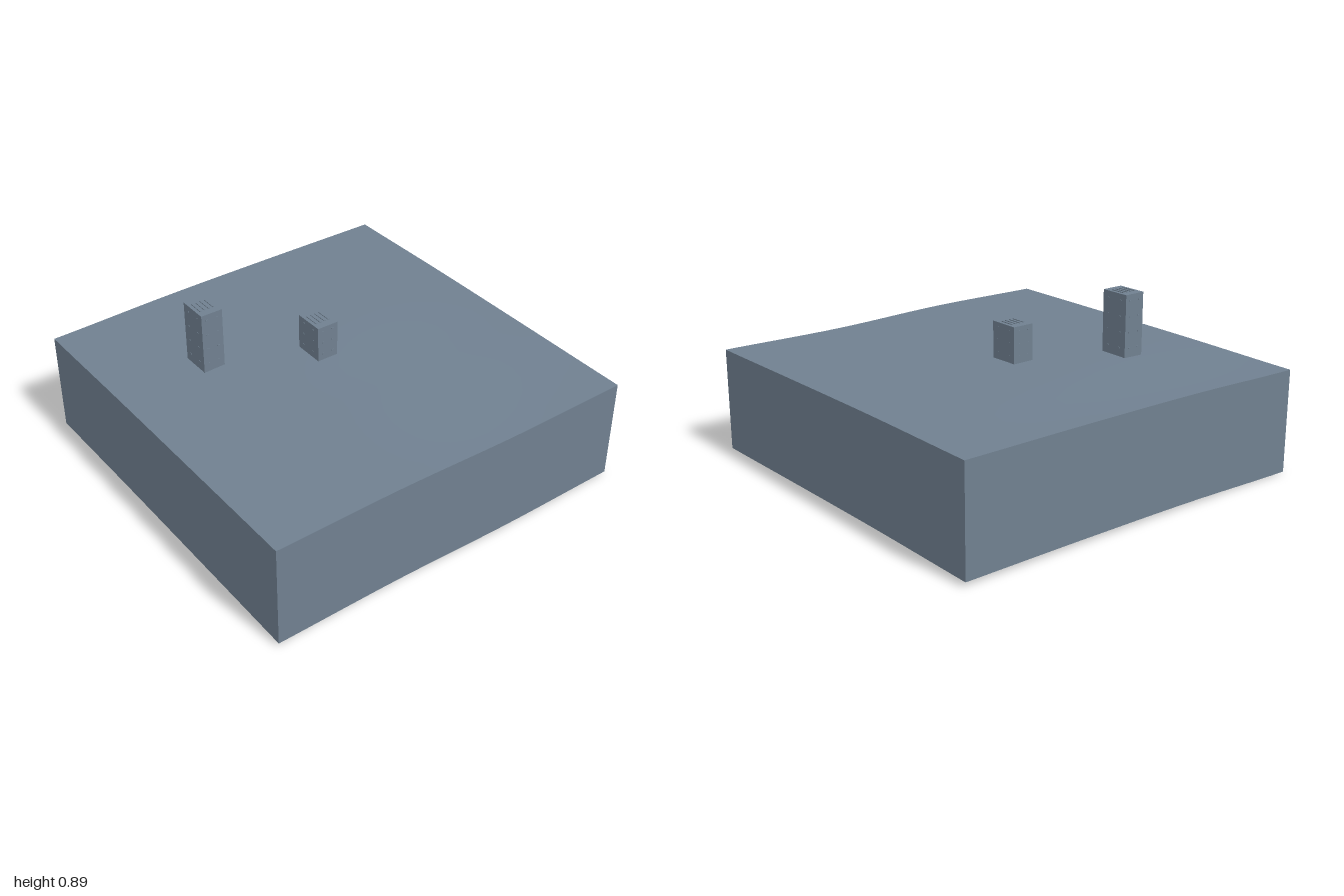
import * as THREE from 'three';

const WALL = 0.535;

// Ground heights on a 4 x 4 net, rows from back (z = -1) to front (z = 1)
const NET = [
  [0.535, 0.553, 0.558, 0.557],
  [0.545, 0.565, 0.566, 0.560],
  [0.550, 0.562, 0.555, 0.555],
  [0.553, 0.558, 0.542, 0.548],
];

// Smooth curve through four evenly spaced values, t from -1 to 1
function smooth(values, t) {
  const s = THREE.MathUtils.clamp((t + 1) * 1.5, 0, 3);
  const i = Math.min(2, Math.floor(s));
  const f = s - i;
  const at = (k) => values[THREE.MathUtils.clamp(k, 0, 3)];
  const a = at(i - 1), b = at(i), c = at(i + 1), d = at(i + 2);
  return b + 0.5 * f * (c - a + f * (2 * a - 5 * b + 4 * c - d + f * (3 * (b - c) + d - a)));
}
const groundHeight = (x, z) => smooth(NET.map((row) => smooth(row, x)), z);

export function createModel() {
  const model = new THREE.Group();
  model.name = 'terrainBlock';
  const slate = new THREE.MeshStandardMaterial({ color: 0x708090, side: THREE.DoubleSide });
  slate.name = 'slateGrey';

  function add(parent, name, geometry, x = 0, y = 0, z = 0) {
    const mesh = new THREE.Mesh(geometry, slate);
    mesh.name = name;
    mesh.position.set(x, y, z);
    parent.add(mesh);
    return mesh;
  }

  // Gently rolling ground
  const ground = new THREE.PlaneGeometry(2, 2, 24, 24).rotateX(-Math.PI / 2);
  let p = ground.attributes.position;
  for (let i = 0; i < p.count; i++) p.setY(i, groundHeight(p.getX(i), p.getZ(i)));
  ground.computeVertexNormals();
  add(model, 'ground', ground);

  // Four skirt walls hanging from the edge of the ground, open below
  ['front', 'left', 'back', 'right'].forEach((side, k) => {
    const wall = new THREE.PlaneGeometry(2, 1, 24, 1).translate(0, 0, 1).rotateY(k * Math.PI / 2);
    p = wall.attributes.position;
    for (let i = 0; i < p.count; i++) {
      const h = groundHeight(p.getX(i), p.getZ(i));
      p.setY(i, p.getY(i) > 0 ? h : h - WALL);
    }
    wall.computeVertexNormals();
    add(model, side + 'Wall', wall);
  });

  // Tower block with roof slats and small wall ledges
  function addTower(name, x, z, width, depth, top, rows) {
    const tower = new THREE.Group();
    tower.name = name;
    const base = groundHeight(x, z) - 0.002;
    const height = top - base;
    tower.position.set(x, base, z);
    add(tower, 'shaft', new THREE.BoxGeometry(width, height, depth), 0, height / 2, 0);

    for (let i = 0; i < 4; i++) {
      add(tower, 'roofSlat', new THREE.BoxGeometry(0.008, 0.005, 0.08),
        (i - 1.5) * 0.024, height + 0.0015, 0);
    }
    for (let r = 0; r < rows; r++) {
      const y = height * (r + 0.6) / rows;
      for (const s of [-1, 1]) {
        for (const u of [-0.25, 0.25]) {
          add(tower, 'ledge', new THREE.BoxGeometry(0.012, 0.006, 0.004), u * width, y, s * depth / 2);
          add(tower, 'ledge', new THREE.BoxGeometry(0.004, 0.006, 0.012), s * width / 2, y, u * depth);
        }
      }
    }
    model.add(tower);
  }
  addTower('tallTower', -0.502, -0.335, 0.116, 0.16, 0.882, 4);
  addTower('shortTower', -0.002, -0.082, 0.116, 0.162, 0.753, 3);

  return model;
}
